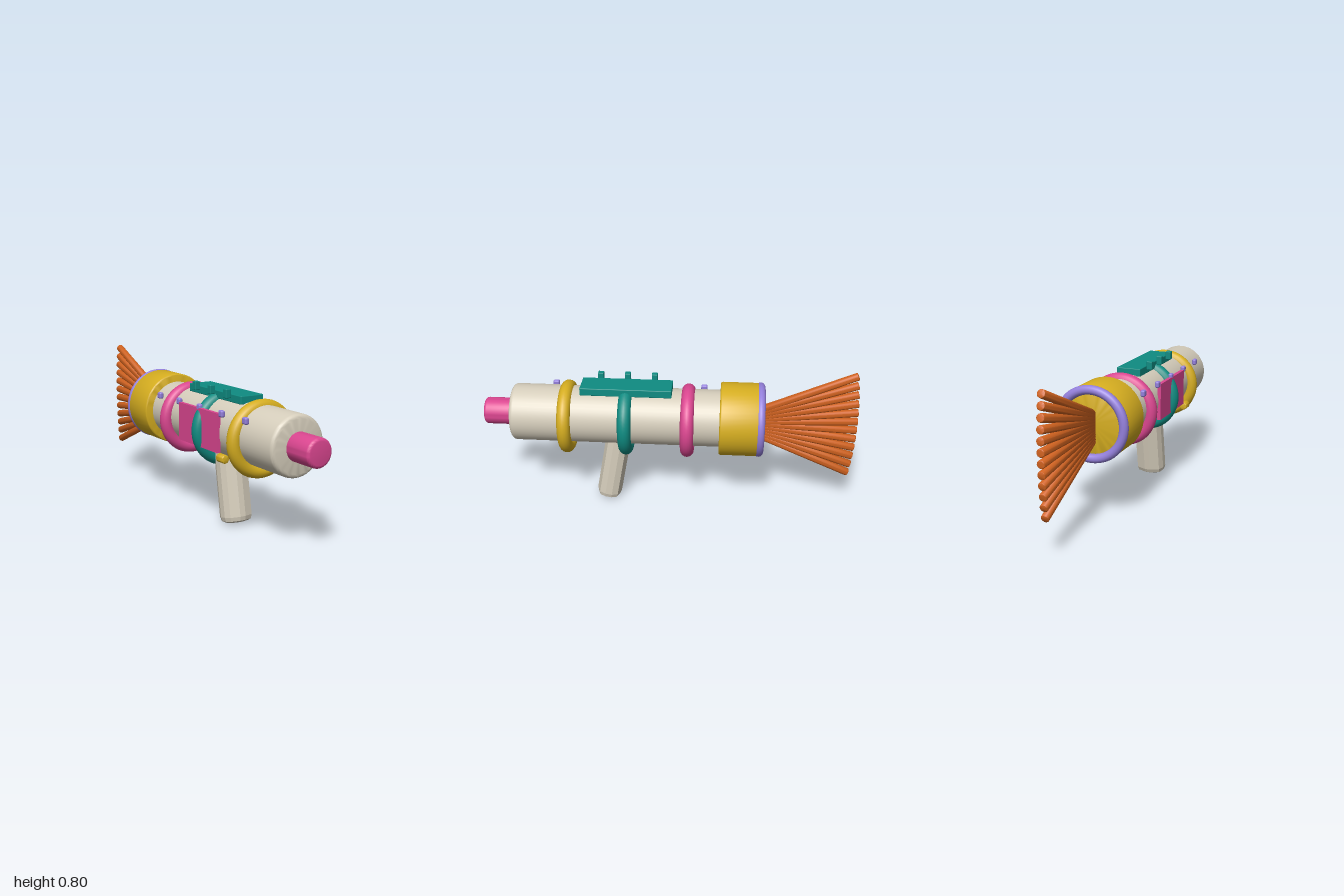
import * as THREE from 'three';
import { toCreasedNormals } from 'three/addons/utils/BufferGeometryUtils.js';
import { RoundedBoxGeometry } from 'three/addons/geometries/RoundedBoxGeometry.js';

const AXIS_Y = 0.51;

function makeMaterial(name, color) {
  const m = new THREE.MeshStandardMaterial({ color });
  m.name = name;
  return m;
}

// Solid cylinder along z with rounded rims
function roundedRod(radius, z0, z1, bevel, sides = 48) {
  const pts = [new THREE.Vector2(0, z0)];
  const steps = 4;
  for (let i = 0; i <= steps; i++) {
    const a = (i / steps) * Math.PI / 2;
    pts.push(new THREE.Vector2(radius - bevel + Math.sin(a) * bevel, z0 + bevel - Math.cos(a) * bevel));
  }
  for (let i = 0; i <= steps; i++) {
    const a = (i / steps) * Math.PI / 2;
    pts.push(new THREE.Vector2(radius - bevel + Math.cos(a) * bevel, z1 - bevel + Math.sin(a) * bevel));
  }
  pts.push(new THREE.Vector2(0, z1));
  const geo = new THREE.LatheGeometry(pts, sides).rotateX(Math.PI / 2);
  return toCreasedNormals(geo, 0.7);
}

export function createModel() {
  const group = new THREE.Group();
  group.name = 'broomTailedLauncher';

  const cream = makeMaterial('cream', 0xd6cebc);
  const pink = makeMaterial('pink', 0xdb4690);
  const gold = makeMaterial('gold', 0xd6ae20);
  const teal = makeMaterial('teal', 0x0f8c82);
  const purple = makeMaterial('purple', 0x9480dc);
  const orange = makeMaterial('orange', 0xd0621f);

  function add(name, geo, mat, x = 0, y = 0, z = 0) {
    const mesh = new THREE.Mesh(geo, mat);
    mesh.name = name;
    mesh.position.set(x, y, z);
    group.add(mesh);
    return mesh;
  }

  // Barrel, nozzle and rear collar
  add('barrel', roundedRod(0.153, -0.32, 0.845, 0.022), cream, 0, AXIS_Y);
  add('nozzle', roundedRod(0.072, 0.8, 1.0, 0.016), pink, 0, AXIS_Y);
  add('rearCollar', roundedRod(0.196, -0.475, -0.27, 0.01), gold, 0, AXIS_Y);
  add('collarRim', new THREE.TorusGeometry(0.175, 0.024, 14, 56), purple, 0, AXIS_Y, -0.482);

  // Bands, hanging slightly low around the barrel
  const bands = [['frontBand', gold, 0.55], ['middleBand', teal, 0.23], ['rearBand', pink, -0.1]];
  for (const [name, mat, z] of bands) {
    add(name, new THREE.TorusGeometry(0.162, 0.036, 16, 56), mat, 0, 0.491, z);
  }

  // Faceted grip, slanted forward, with a chamfered foot
  const corner = [[0.08, 0.018], [0.066, 0.05], [0.016, 0.0675]];
  const back = [...corner].reverse();
  const outline = [
    ...corner,
    ...back.map(([x, z]) => [-x, z]),
    ...corner.map(([x, z]) => [-x, -z]),
    ...back.map(([x, z]) => [x, -z]),
  ].map(([x, z]) => new THREE.Vector2(x, z));
  const gripGeo = new THREE.ExtrudeGeometry(new THREE.Shape(outline), {
    depth: 0.36, bevelEnabled: true, bevelThickness: 0.03, bevelSize: 0.02, bevelOffset: -0.02, bevelSegments: 2,
  });
  gripGeo.translate(0, 0, 0.03).rotateX(-Math.PI / 2);
  const grip = add('grip', toCreasedNormals(gripGeo, 0.1), cream, 0, 0.012, 0.342);
  grip.rotation.x = -THREE.MathUtils.degToRad(10);

  // Top rail with a row of small pegs beside it
  add('topRail', new RoundedBoxGeometry(0.135, 0.042, 0.485, 2, 0.004), teal, 0, 0.674, 0.228);
  for (const z of [0.375, 0.23, 0.085]) {
    add('railPeg', new RoundedBoxGeometry(0.031, 0.046, 0.031, 2, 0.004), teal, -0.086, 0.698, z);
  }

  // Right-hand side panel, studs and small pin
  add('sidePanel', new THREE.BoxGeometry(0.02, 0.2, 0.37), pink, -0.156, AXIS_Y, 0.225);
  for (let i = 0; i < 5; i++) {
    add('sideStud', new RoundedBoxGeometry(0.024, 0.035, 0.035, 3, 0.009), purple, -0.154, 0.612, -0.18 + i * 0.204);
  }
  add('sidePin', roundedRod(0.022, -0.03, 0.03, 0.006, 20), gold, -0.16, 0.392, 0.45);

  // Flat fan of bristles behind the collar
  const count = 12;
  for (let i = 0; i < count; i++) {
    const t = (i / (count - 1)) * 2 - 1;
    const root = new THREE.Vector3(0, 0.493 + t * 0.066, -0.46);
    const tip = new THREE.Vector3(0, 0.493 + t * 0.292, -1.0 + 0.022 * t * t);
    const length = root.distanceTo(tip);
    const bristle = add('bristle', roundedRod(0.021, 0, length, 0.005, 16), orange);
    bristle.position.copy(root);
    bristle.lookAt(tip);
  }

  return group;
}
